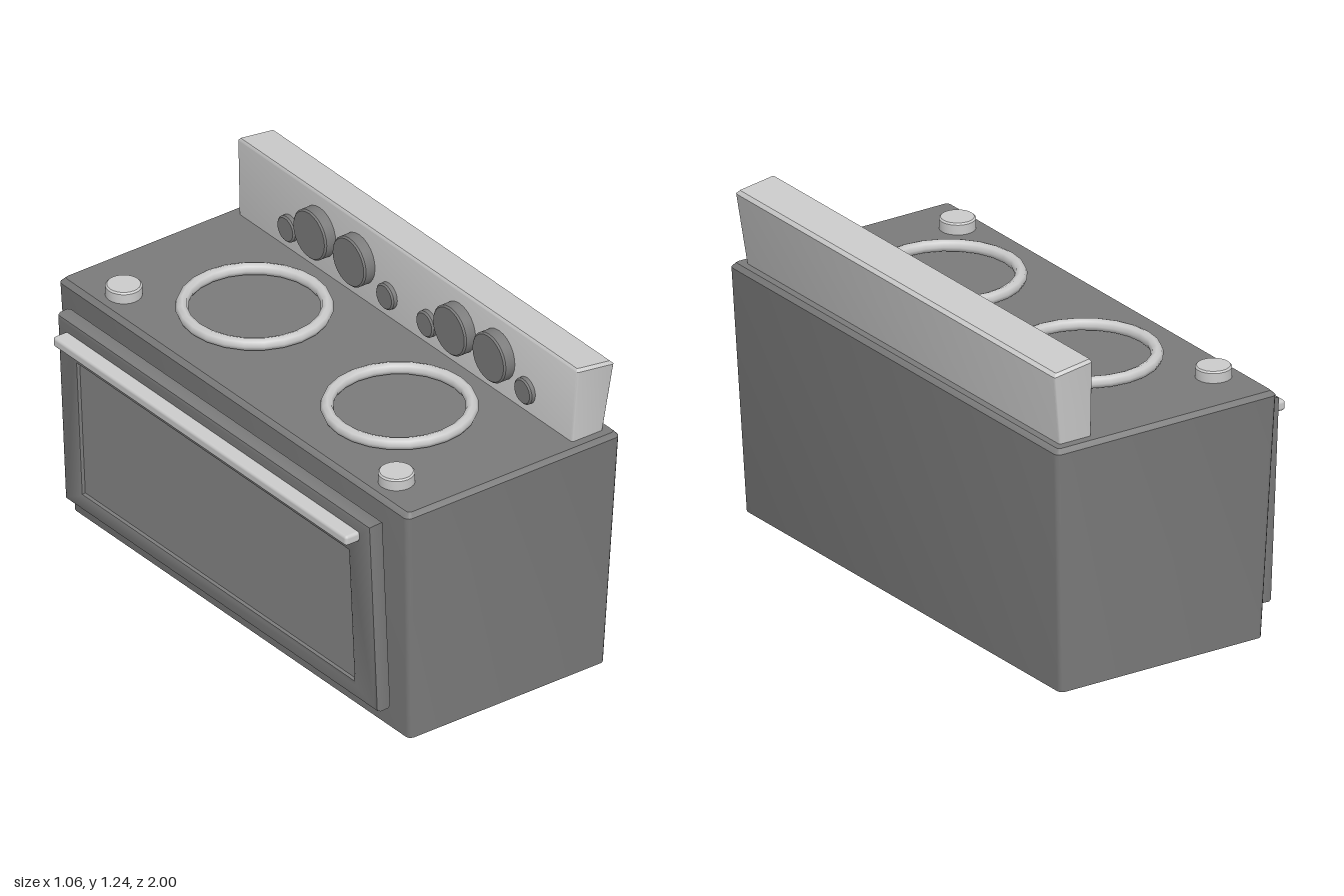
import * as THREE from 'three';
import { toCreasedNormals } from 'three/addons/utils/BufferGeometryUtils.js';
import { RoundedBoxGeometry } from 'three/addons/geometries/RoundedBoxGeometry.js';

const light = new THREE.MeshStandardMaterial({ color: 0xcccccc });
const dark = new THREE.MeshStandardMaterial({ color: 0x7b7b7b });
const pane = new THREE.MeshStandardMaterial({ color: 0x8a8a8a });

function add(parent, name, geometry, material, x = 0, y = 0, z = 0) {
  const mesh = new THREE.Mesh(geometry, material);
  mesh.name = name;
  mesh.position.set(x, y, z);
  parent.add(mesh);
  return mesh;
}

// Loft through rounded rectangles: { y, x0, x1, z, r, slope }, first to last, capped at both ends.
function loft(sections) {
  const steps = 3, n = 4 * (steps + 1), pos = [], idx = [];
  for (const { y, x0, x1, z, r, slope = 0 } of sections) {
    for (let c = 0; c < 4; c++) {
      const cx = c === 0 || c === 3 ? x1 - r : x0 + r;
      const cz = c < 2 ? z - r : r - z;
      for (let k = 0; k <= steps; k++) {
        const a = (c + k / steps) * Math.PI / 2;
        const x = cx + r * Math.cos(a);
        pos.push(x, y - slope * (x - x0), cz + r * Math.sin(a));
      }
    }
  }
  const last = (sections.length - 1) * n;
  for (let s = 0; s < last; s += n) {
    for (let j = 0; j < n; j++) {
      const a = s + j, b = s + (j + 1) % n;
      idx.push(a, a + n, b + n, a, b + n, b);
    }
  }
  for (let j = 1; j < n - 1; j++) {
    idx.push(0, j, j + 1, last, last + j + 1, last + j);
  }
  const geo = new THREE.BufferGeometry();
  geo.setAttribute('position', new THREE.Float32BufferAttribute(pos, 3));
  geo.setIndex(idx);
  return toCreasedNormals(geo, 0.6);
}

// Short disc with a bevelled rim, standing on its base.
function discGeometry(radius, height, bevel) {
  const profile = [[0, 0], [radius, 0], [radius, height - bevel], [radius - bevel, height], [0, height]];
  return toCreasedNormals(
    new THREE.LatheGeometry(profile.map(([x, y]) => new THREE.Vector2(x, y)), 24), 0.6);
}

function rectangle(target, x0, y0, x1, y1) {
  target.moveTo(x0, y0);
  target.lineTo(x1, y0);
  target.lineTo(x1, y1);
  target.lineTo(x0, y1);
  target.closePath();
  return target;
}

export function createModel() {
  const model = new THREE.Group();
  model.name = 'stove';

  // Flared body with a chamfered top and a recessed underside
  add(model, 'body', loft([
    { y: 0.12, x0: -0.363, x1: 0.488, z: 0.96, r: 0.02 },
    { y: 0, x0: -0.358, x1: 0.483, z: 0.955, r: 0.02 },
    { y: 0, x0: -0.363, x1: 0.49, z: 0.963, r: 0.02 },
    { y: 0.92, x0: -0.4, x1: 0.53, z: 1, r: 0.022 },
    { y: 0.937, x0: -0.383, x1: 0.515, z: 0.985, r: 0.015 },
  ]), dark);

  // Flared back panel with a sloping top
  add(model, 'backPanel', loft([
    { y: 0.93, x0: 0.353, x1: 0.487, z: 0.953, r: 0.008 },
    { y: 1.225, x0: 0.362, x1: 0.522, z: 0.973, r: 0.008, slope: 0.14 },
    { y: 1.235, x0: 0.368, x1: 0.51, z: 0.963, r: 0.004, slope: 0.14 },
  ]), light);

  // Oven door leaning with the front of the body
  const door = new THREE.Group();
  door.name = 'ovenDoor';
  door.position.set(-0.378, 0.1, -0.012);
  door.rotation.z = 0.045;
  model.add(door);
  const bevel = 0.016;
  const outline = rectangle(new THREE.Shape(), -0.895 + bevel, bevel, 0.895 - bevel, 0.765 - bevel);
  outline.holes.push(rectangle(new THREE.Path(), -0.79 - bevel, 0.07 - bevel, 0.76 + bevel, 0.605 + bevel));
  const frame = new THREE.ExtrudeGeometry(outline, {
    depth: 0.065 - 2 * bevel, bevelThickness: bevel, bevelSize: bevel, bevelSegments: 2,
  });
  frame.translate(0, 0, bevel);
  frame.rotateY(-Math.PI / 2);
  add(door, 'doorFrame', toCreasedNormals(frame, 0.6), dark);
  add(door, 'doorWindow', new THREE.BoxGeometry(0.04, 0.58, 1.6), pane, -0.03, 0.34, -0.015);

  // Bar handle across the door
  add(model, 'doorHandle', new RoundedBoxGeometry(0.065, 0.04, 1.68, 2, 0.012), light, -0.502, 0.796, -0.015);

  // Burner rings
  for (const z of [-0.4, 0.43]) {
    const ring = new THREE.TorusGeometry(0.253, 0.023, 8, 24);
    ring.rotateX(Math.PI / 2);
    add(model, 'burnerRing', ring, light, 0, 0.962, z);
  }

  // Round buttons at the front corners of the top
  for (const z of [-0.77, 0.79]) {
    add(model, 'topButton', discGeometry(0.065, 0.045, 0.006), light, -0.288, 0.935, z);
  }

  // Control knobs along the back panel
  const addKnob = (name, radius, depth, y, z) => {
    const knob = add(model, name, discGeometry(radius, depth, 0.006), dark, 0.365, y, z);
    knob.rotation.z = Math.PI / 2;
  };
  for (const z of [-0.5, -0.275, 0.3, 0.525]) addKnob('largeKnob', 0.095, 0.052, 1.085, z);
  for (const z of [-0.665, -0.1, 0.13, 0.69]) addKnob('smallKnob', 0.05, 0.03, 1.02, z);

  return model;
}
